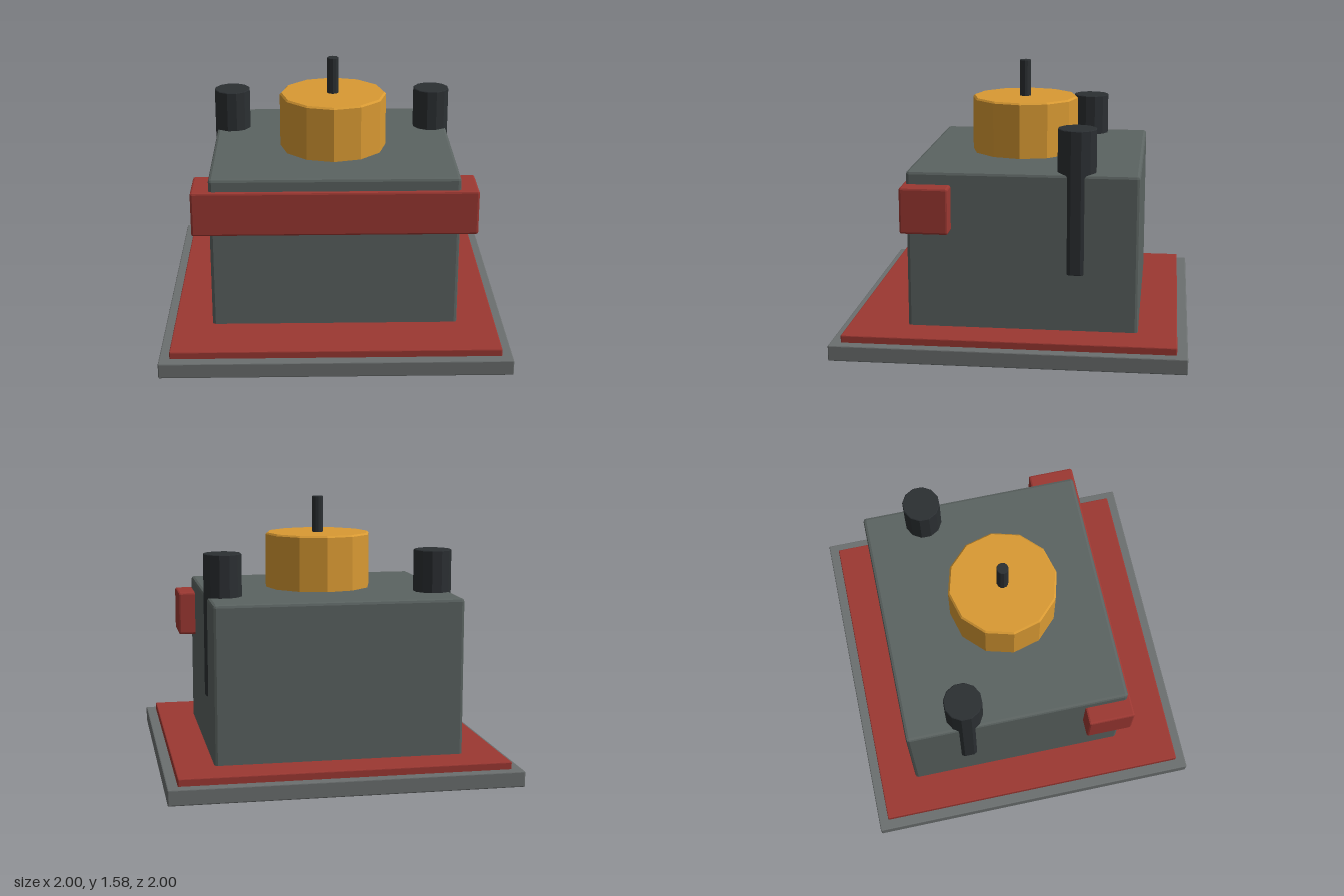
import * as THREE from 'three';
import { RoundedBoxGeometry } from 'three/addons/geometries/RoundedBoxGeometry.js';

const paint = (color) => new THREE.MeshStandardMaterial({ color, flatShading: true });

export function createModel() {
  const group = new THREE.Group();
  const slate = paint(0x5b6361);
  const grey = paint(0x6b6f6f);
  const red = paint(0x9c3832);
  const amber = paint(0xd99a33);
  const dark = paint(0x2b2f32);

  const add = (name, geometry, material, x = 0, y = 0, z = 0) => {
    const mesh = new THREE.Mesh(geometry, material);
    mesh.name = name;
    mesh.position.set(x, y, z);
    group.add(mesh);
    return mesh;
  };

  // Box with a small bevel, given by its extents on each axis
  const block = (name, material, [x0, x1], [y0, y1], [z0, z1], bevel) =>
    add(name, new RoundedBoxGeometry(x1 - x0, y1 - y0, z1 - z0, 1, bevel), material,
      (x0 + x1) / 2, (y0 + y1) / 2, (z0 + z1) / 2);

  // Faceted upright drum with a bevelled rim
  const drum = (name, material, r, y0, y1, bevel, x = 0, z = 0) => {
    const h = y1 - y0;
    const profile = [[0, 0], [r - bevel, 0], [r, bevel], [r, h - bevel], [r - bevel, h], [0, h]]
      .map(([px, py]) => new THREE.Vector2(px, py));
    return add(name, new THREE.LatheGeometry(profile, 12), material, x, y0, z);
  };

  // Stepped base
  block('basePlate', grey, [-1, 1], [0, 0.09], [-1, 1], 0.006);
  block('baseSheet', red, [-0.94, 0.94], [0.07, 0.132], [-0.94, 0.94], 0.006);

  // Main body and the bar across its front
  block('body', slate, [-0.717, 0.717], [0.1, 1.036], [-0.718, 0.596], 0.018);
  block('frontBar', red, [-0.82, 0.82], [0.698, 0.962], [0.342, 0.617], 0.012);

  // Top drum and its rod
  drum('topDrum', amber, 0.318, 1.0, 1.364, 0.01);
  drum('rod', dark, 0.034, 1.3, 1.58, 0.003);

  // Side posts, partly sunk into the body
  for (const side of [1, -1]) {
    const post = drum(side > 0 ? 'leftPost' : 'rightPost', dark, 0.111, 0.46, 1.283, 0.004, side * 0.621, -0.361);
    post.rotation.y = Math.PI / 12;
  }

  return group;
}
